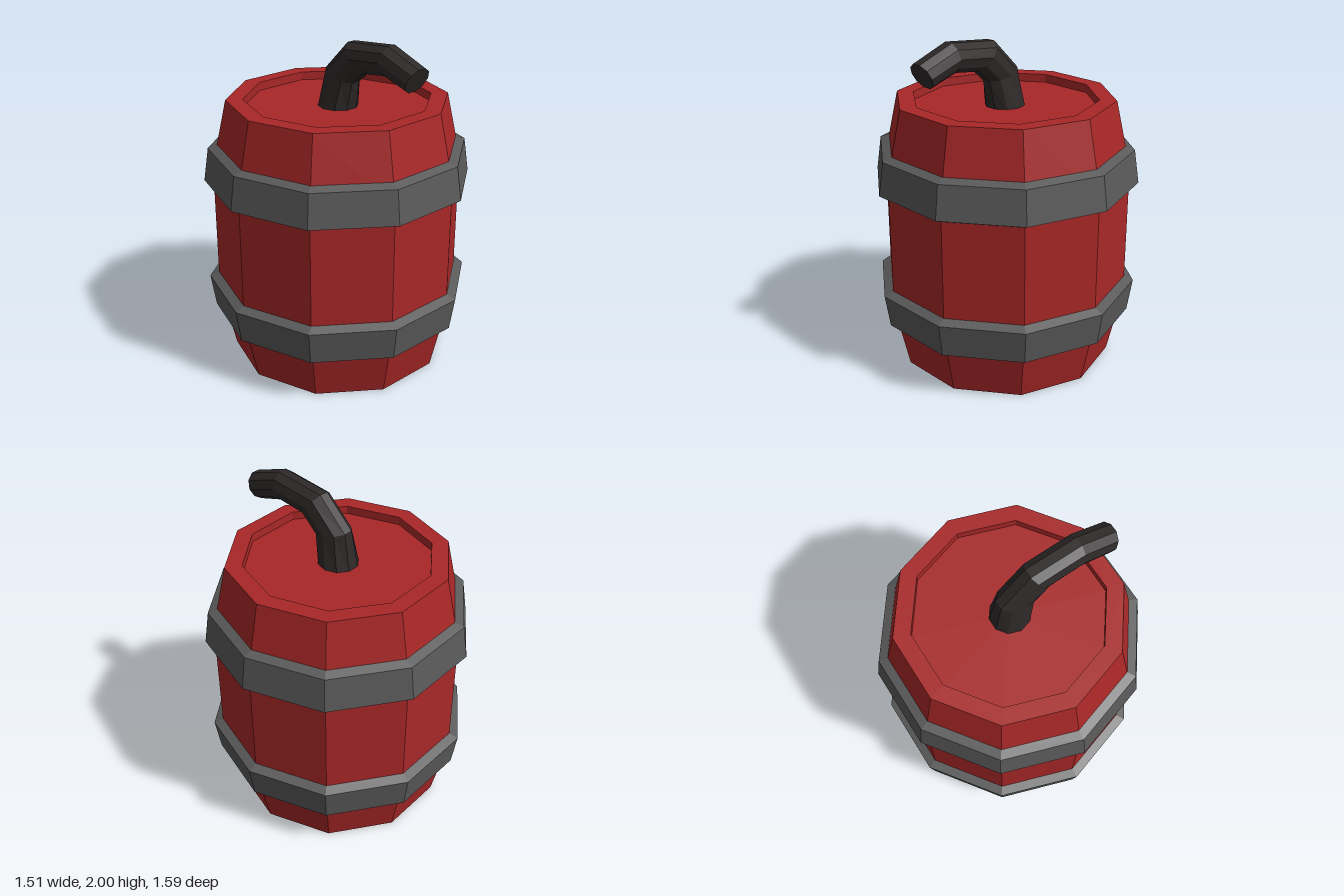
import * as THREE from 'three';

const SIDES = 10;
const HEIGHT = 1.62;

const mat = (color) => new THREE.MeshStandardMaterial({ color, flatShading: true });

// Faceted mesh with its own normals on every face
function facetedMesh(name, geometry, material) {
  const flat = geometry.index ? geometry.toNonIndexed() : geometry;
  flat.computeVertexNormals();
  const mesh = new THREE.Mesh(flat, material);
  mesh.name = name;
  return mesh;
}

// Ten-sided turned shape from [radius, y] pairs running bottom to top on the outside
function turned(points) {
  return new THREE.LatheGeometry(points.map(([r, y]) => new THREE.Vector2(r, y)), SIDES);
}

// Mirrors a profile about the middle of the barrel
const mirrored = (points) => points.map(([r, y]) => [r, HEIGHT - y]).reverse();

// Bent tube: each ring spans two opposite points [x, y] in the z = 0 plane, with half width w in z
function fuseGeometry(rings) {
  const inset = Math.cos(Math.PI / SIDES);
  const positions = [];
  const loops = rings.map(({ a, b, w }) => {
    const cx = (a[0] + b[0]) / 2, cy = (a[1] + b[1]) / 2;
    const loop = [];
    for (let k = 0; k < SIDES; k++) {
      const t = ((k + 0.5) / SIDES) * Math.PI * 2;
      const c = Math.cos(t) / inset;
      loop.push([cx + (a[0] - cx) * c, cy + (a[1] - cy) * c, w * Math.sin(t)]);
    }
    return { loop, centre: [cx, cy, 0] };
  });
  const tri = (...corners) => corners.forEach((p) => positions.push(...p));
  for (let i = 0; i < loops.length - 1; i++) {
    const lower = loops[i].loop, upper = loops[i + 1].loop;
    for (let k = 0; k < SIDES; k++) {
      const n = (k + 1) % SIDES;
      tri(lower[k], lower[n], upper[k]);
      tri(lower[n], upper[n], upper[k]);
    }
  }
  // End cap
  const { loop, centre } = loops[loops.length - 1];
  for (let k = 0; k < SIDES; k++) tri(centre, loop[k], loop[(k + 1) % SIDES]);

  const geometry = new THREE.BufferGeometry();
  geometry.setAttribute('position', new THREE.Float32BufferAttribute(positions, 3));
  return geometry;
}

export function createModel() {
  const group = new THREE.Group();
  group.name = 'powderBarrel';
  const red = mat(0xa82727);
  const iron = mat(0x5a5a5a);
  const black = mat(0x2e2929);

  // Barrel body with recessed ends
  const lowerBody = [[0, 0.05], [0.55, 0.05], [0.55, 0], [0.65, 0], [0.74, 0.4]];
  group.add(facetedMesh('barrelBody', turned([...lowerBody, ...mirrored(lowerBody)]), red));

  // Two hoops, mirrored about the middle
  const lowerHoop = [[0.7, 0.265], [0.765, 0.29], [0.795, 0.49], [0.735, 0.517]];
  group.add(facetedMesh('lowerHoop', turned(lowerHoop), iron));
  group.add(facetedMesh('upperHoop', turned(mirrored(lowerHoop)), iron));

  // Fuse curving over to the model's left
  group.add(facetedMesh('fuse', fuseGeometry([
    { a: [-0.113, 1.56], b: [0.113, 1.56], w: 0.118 },
    { a: [-0.07, 1.787], b: [0.148, 1.735], w: 0.09 },
    { a: [0.11, 1.966], b: [0.232, 1.81], w: 0.088 },
    { a: [0.424, 2.0], b: [0.402, 1.833], w: 0.088 },
    { a: [0.65, 1.917], b: [0.582, 1.777], w: 0.085 },
  ]), black));

  return group;
}
